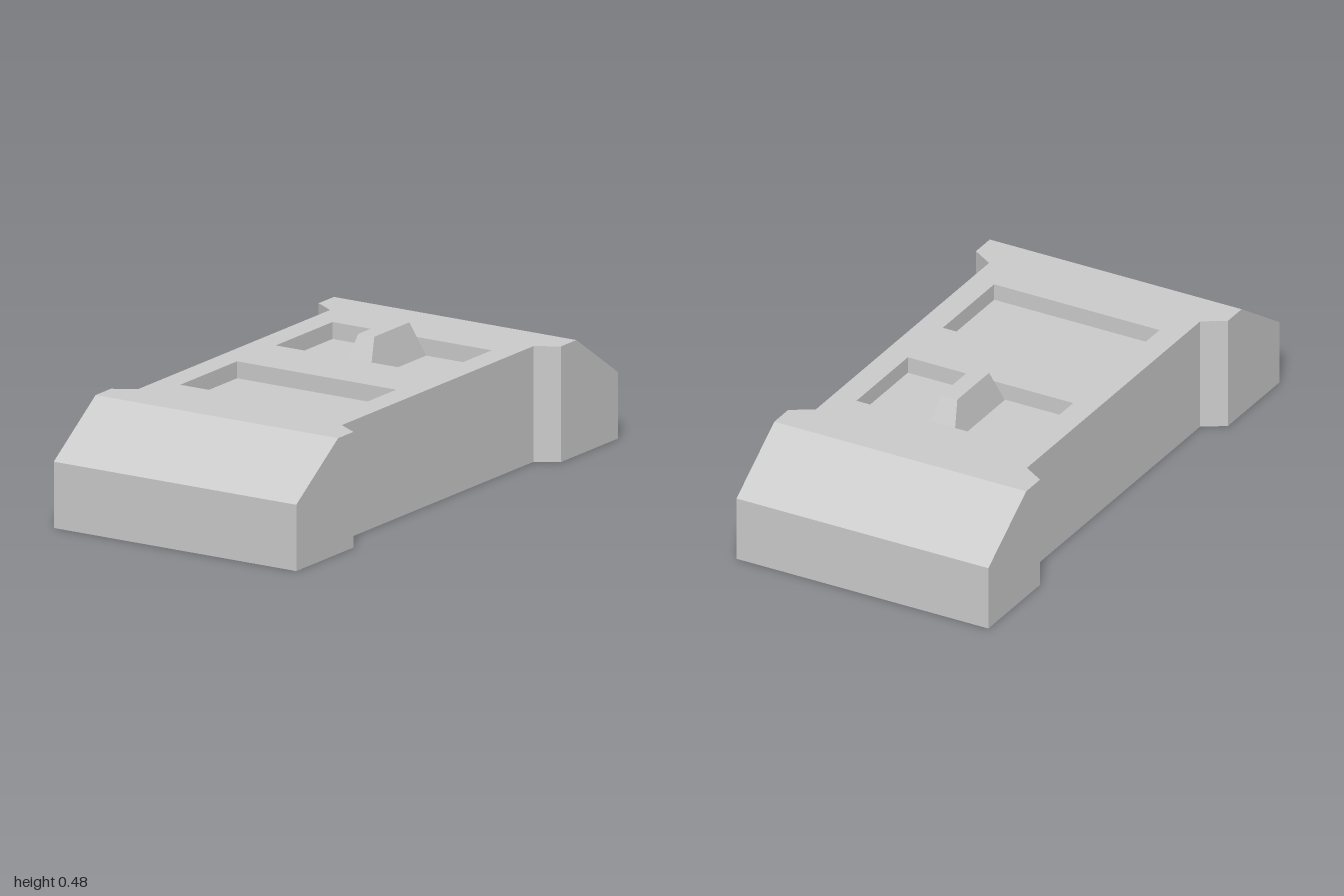
import * as THREE from 'three';

const TOP = 0.41, FLOOR = 0.35, SHOULDER = 0.235, SLOPE_Z = 0.74;

// Collects flat polygons into one geometry
class Faces {
  constructor() { this.pos = []; }
  tri(...pts) { for (const p of pts) this.pos.push(...p); }
  quad(a, b, c, d) { this.tri(a, b, c); this.tri(a, c, d); }

  // Horizontal face at height y, with optional holes; plan points are [x, z]
  cap(contour, holes, y, up) {
    const v2 = (list) => list.map(([x, z]) => new THREE.Vector2(x, z));
    const all = [...contour, ...holes.flat()];
    for (const [i, j, k] of THREE.ShapeUtils.triangulateShape(v2(contour), holes.map(v2))) {
      const [a, b, c] = [all[i], all[j], all[k]];
      const ny = (b[1] - a[1]) * (c[0] - a[0]) - (b[0] - a[0]) * (c[1] - a[1]);
      const p = [a, b, c].map(([x, z]) => [x, y, z]);
      if ((ny > 0) === up) this.tri(p[0], p[1], p[2]);
      else this.tri(p[0], p[2], p[1]);
    }
  }

  // Vertical faces around a loop; the face looks to the right of the walk
  walls(loop, y0, topAt) {
    loop.forEach(([ax, az], i) => {
      const [bx, bz] = loop[(i + 1) % loop.length];
      this.quad([ax, y0, az], [bx, y0, bz], [bx, topAt(bz), bz], [ax, topAt(az), az]);
    });
  }

  geometry() {
    const g = new THREE.BufferGeometry();
    g.setAttribute('position', new THREE.Float32BufferAttribute(this.pos, 3));
    g.computeVertexNormals();
    return g;
  }
}

// Mirrors a quarter of the plan outline into a full loop
function mirrorPlan(quarter) {
  const right = [...quarter, ...quarter.map(([x, z]) => [x, -z]).reverse()];
  return [...right, ...right.map(([x, z]) => [-x, z]).reverse()];
}

export function createModel() {
  const group = new THREE.Group();
  const material = new THREE.MeshStandardMaterial({ color: 0xcccccc, flatShading: true });
  const add = (name, geometry) => {
    const mesh = new THREE.Mesh(geometry, material);
    mesh.name = name;
    group.add(mesh);
    return mesh;
  };

  // Body: narrow waist, wide ends with sloping tops
  const waist = [[0.495, SLOPE_Z], [0.495, 0.645], [0.415, 0.595]];
  const outline = mirrorPlan([[0.495, 1], ...waist]);
  const pockets = [[0.12, 0.473], [-0.473, -0.12]].map(([z0, z1]) =>
    [[0.325, z0], [0.325, z1], [-0.325, z1], [-0.325, z0]]);

  const body = new Faces();
  body.walls(outline, 0, (z) => (Math.abs(z) > 0.99 ? SHOULDER : TOP));
  body.cap(outline, [], 0, false);
  body.cap(mirrorPlan(waist), pockets, TOP, true);
  for (const s of [1, -1]) {
    const x = 0.495 * s;
    body.quad([-x, SHOULDER, s], [x, SHOULDER, s], [x, TOP, SLOPE_Z * s], [-x, TOP, SLOPE_Z * s]);
  }
  add('body', body.geometry());

  // Recessed pockets in the deck
  pockets.forEach((loop, i) => {
    const pocket = new Faces();
    pocket.walls(loop, FLOOR, () => TOP);
    pocket.cap(loop, [], FLOOR, true);
    add(i === 0 ? 'frontPocket' : 'backPocket', pocket.geometry());
  });

  // Switch knob: a box tapered towards its top
  const height = 0.48 - FLOOR;
  const knob = new THREE.BoxGeometry(0.115, height, 0.349);
  const p = knob.attributes.position;
  for (let i = 0; i < p.count; i++) {
    if (p.getY(i) > 0) p.setXYZ(i, Math.sign(p.getX(i)) * 0.033, p.getY(i), Math.sign(p.getZ(i)) * 0.109);
  }
  knob.computeVertexNormals();
  add('switchKnob', knob).position.set(0, FLOOR + height / 2, -0.297);

  return group;
}
